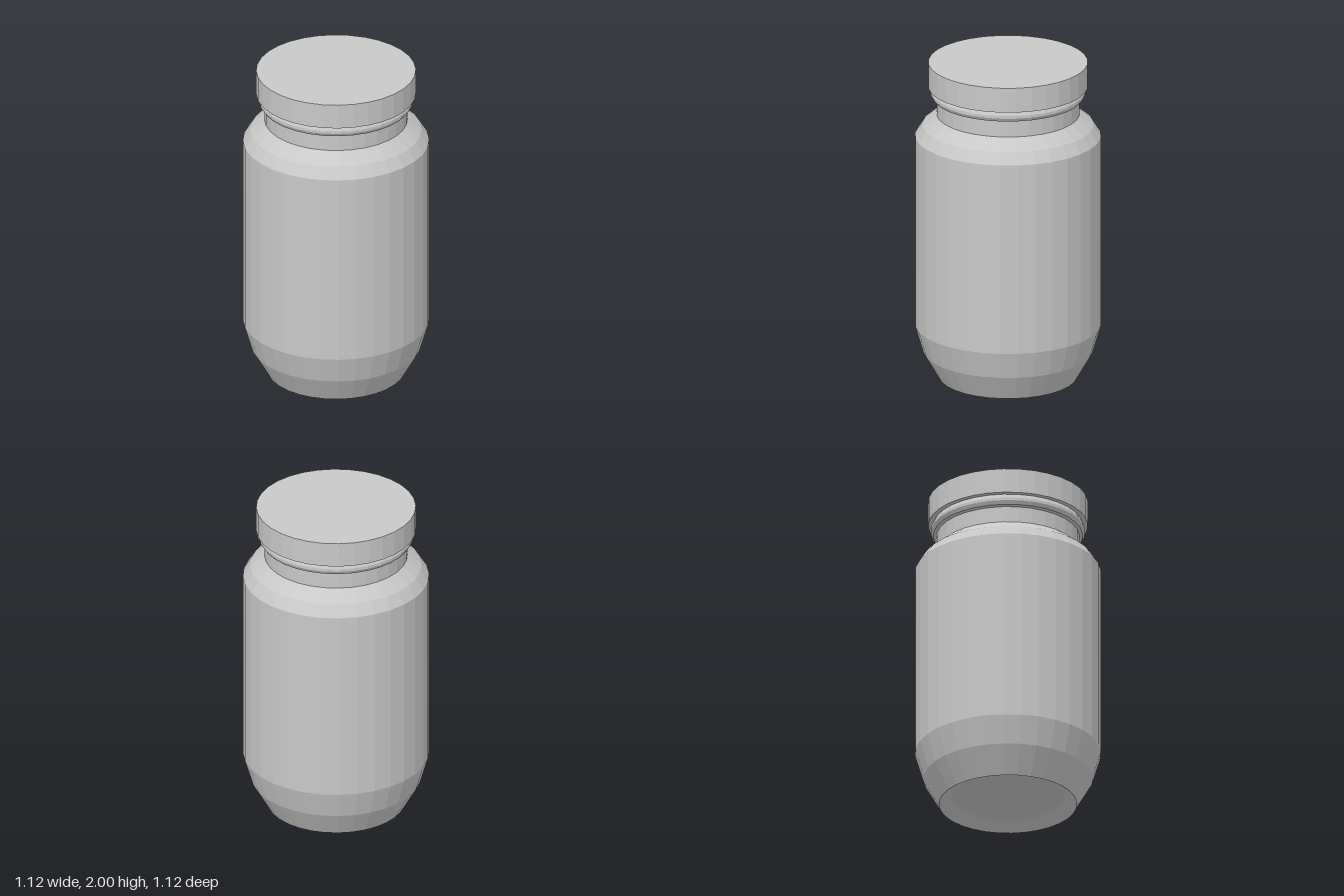
import * as THREE from 'three';

const SIDES = 32;

export function createModel() {
  const jar = new THREE.Group();
  jar.name = 'jar';
  const grey = new THREE.MeshStandardMaterial({ color: 0xc8c8c8 });
  grey.name = 'grey';
  grey.flatShading = true;

  // Revolves a [radius, height] profile, listed from bottom to top
  function turned(name, profile) {
    const points = profile.map(([r, y]) => new THREE.Vector2(r, y));
    const mesh = new THREE.Mesh(new THREE.LatheGeometry(points, SIDES), grey);
    mesh.name = name;
    jar.add(mesh);
  }

  // Body with a recessed base, tapered foot and sloping shoulder
  turned('body', [
    [0, 0.05], [0.34, 0.05], [0.415, 0], [0.51, 0.165], [0.56, 0.335],
    [0.56, 1.535], [0.515, 1.605], [0.43, 1.672],
  ]);

  // Neck
  turned('neck', [[0.43, 1.672], [0.43, 1.772]]);

  // Rounded bead under the lid
  turned('neckBead', [
    [0.43, 1.772], [0.45, 1.778], [0.464, 1.8], [0.464, 1.817], [0.45, 1.845],
  ]);

  // Flat lid
  turned('lid', [[0, 1.845], [0.48, 1.845], [0.48, 2], [0, 2]]);

  return jar;
}
